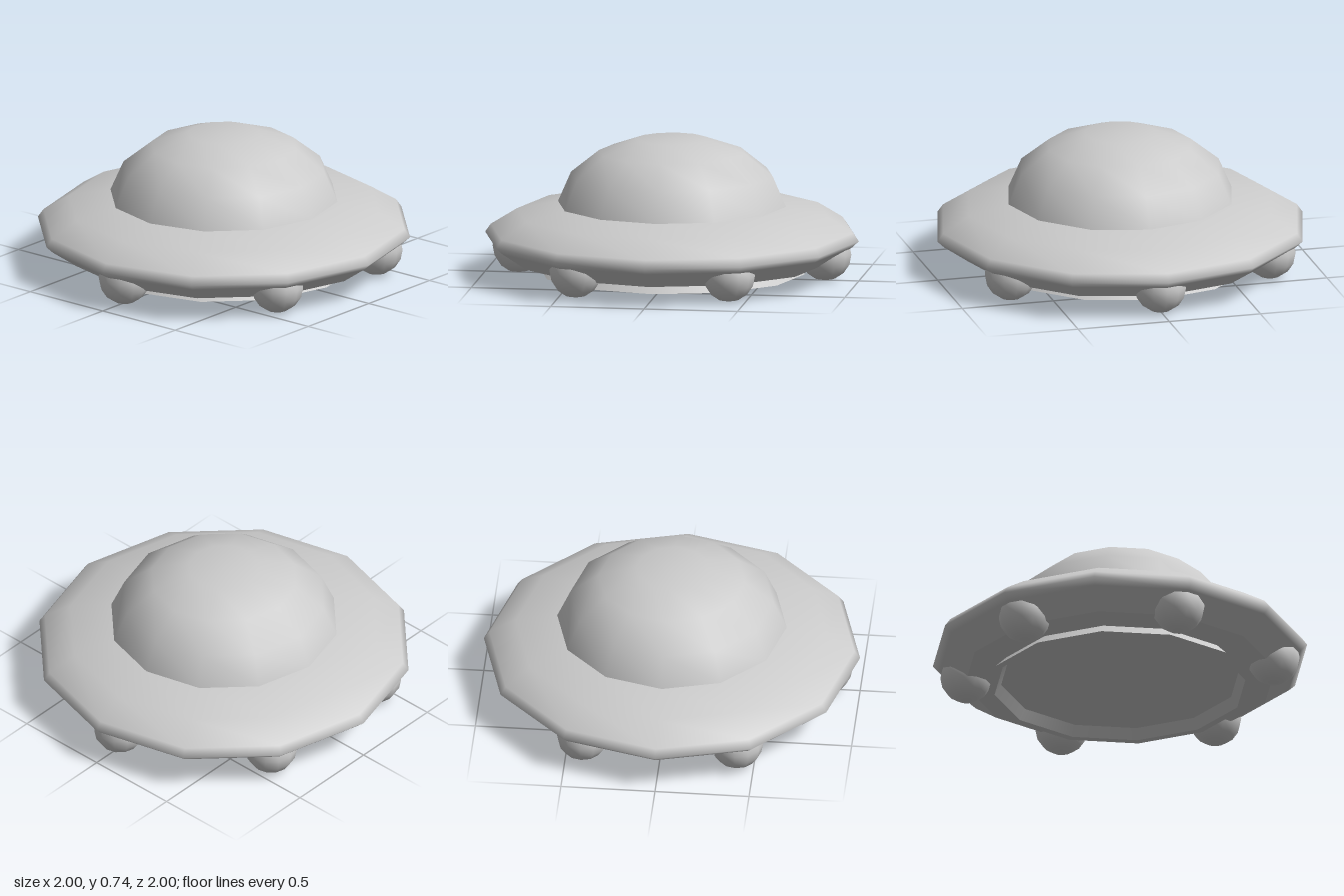
import * as THREE from 'three';

const SIDES = 12;
const material = new THREE.MeshStandardMaterial({ color: 0xcccccc });

// Twelve-sided turned part; profile runs from the bottom up on the outside
function turned(name, profile) {
  const points = profile.map(([r, y]) => new THREE.Vector2(r, y));
  const mesh = new THREE.Mesh(new THREE.LatheGeometry(points, SIDES), material);
  mesh.name = name;
  return mesh;
}

export function createModel() {
  const saucer = new THREE.Group();
  saucer.name = 'flyingSaucer';

  // Disc-shaped hull, rounded at the rim
  saucer.add(turned('hull', [
    [0.83, 0.09], [0.965, 0.182], [1, 0.215], [0.97, 0.258], [0.83, 0.345], [0.61, 0.39],
  ]));
  saucer.add(turned('hullUnderside', [[0, 0.09], [0.83, 0.09]]));

  // Domed cabin with a flat crown
  saucer.add(turned('dome', [
    [0.61, 0.39], [0.54, 0.55], [0.39, 0.67], [0.19, 0.74], [0, 0.74],
  ]));

  // Flared skirt under the hull, each face with its own hard edges
  const skirt = new THREE.Group();
  skirt.name = 'bottomSkirt';
  skirt.add(
    turned('skirtInnerWall', [[0.635, 0.085], [0.67, 0.03]]),
    turned('skirtLowerEdge', [[0.67, 0.03], [0.71, 0.03]]),
    turned('skirtOuterWall', [[0.71, 0.03], [0.65, 0.09]]),
    turned('skirtFloor', [[0, 0.085], [0.635, 0.085]]),
  );
  saucer.add(skirt);

  // Six ball feet, set evenly under the rim
  const footGeometry = new THREE.SphereGeometry(0.14, 12, 8);
  for (let i = 0; i < 6; i++) {
    const angle = (i * Math.PI) / 3;
    const foot = new THREE.Mesh(footGeometry, material);
    foot.name = `ballFoot${i + 1}`;
    foot.position.set(Math.sin(angle) * 0.82, 0.142, Math.cos(angle) * 0.82);
    foot.rotation.y = angle;
    saucer.add(foot);
  }
  return saucer;
}
